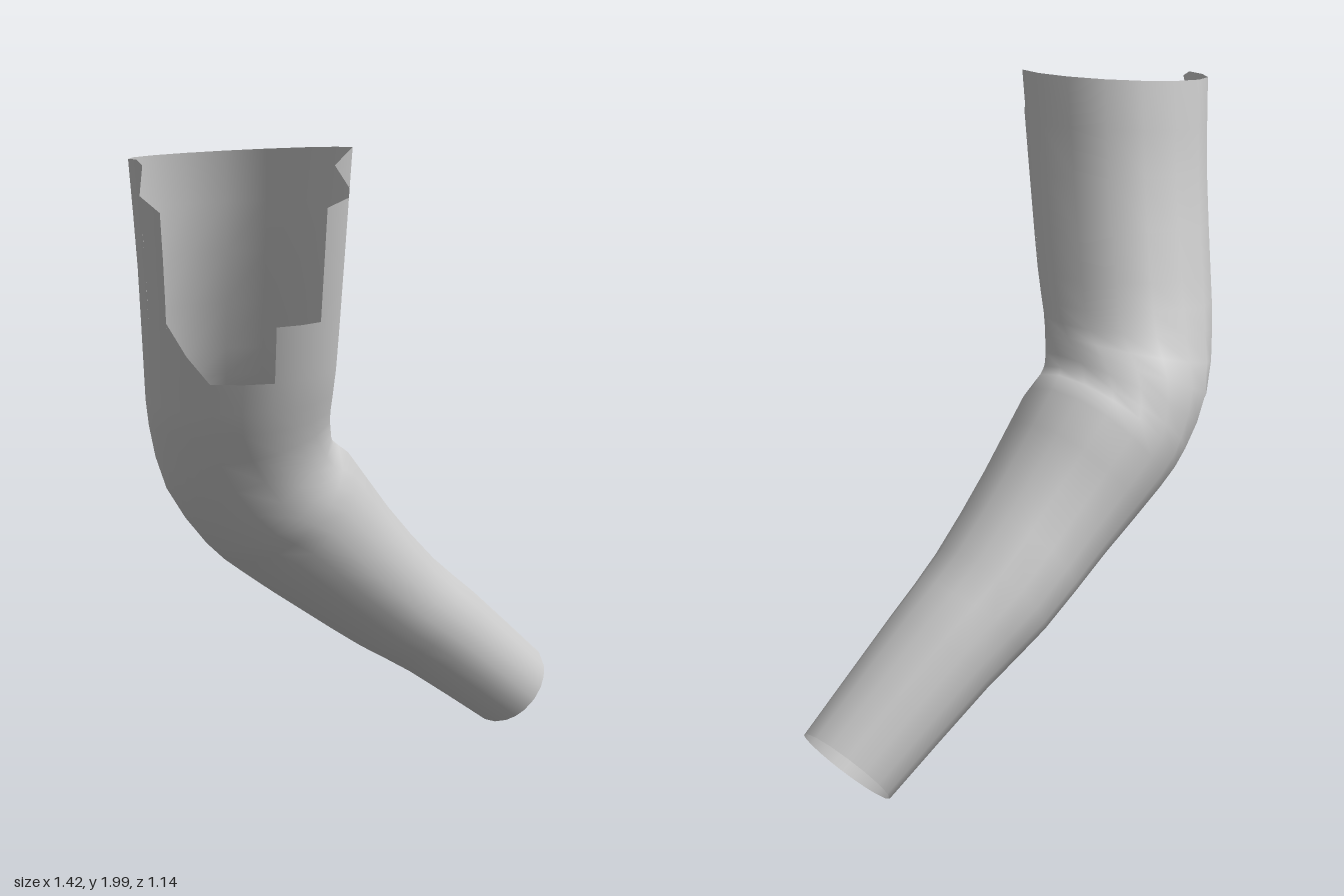
import * as THREE from 'three';

// Cross-sections from the torn opening to the narrow end:
// centre, then the half-axis to the inner side and the half-axis to the front
const rings = [
  [[-0.405, 1.985, 0.365], [0.295, 0.01, 0], [0, 0.015, 0.285]],
  [[-0.397, 1.685, 0.29], [0.28, 0, 0], [0, 0, 0.27]],
  [[-0.39, 1.39, 0.195], [0.27, 0, 0], [0, 0, 0.27]],
  [[-0.385, 1.24, 0.135], [0.26, 0.02, 0], [0, 0, 0.275]],
  [[-0.36, 1.11, 0.065], [0.235, 0.09, -0.02], [0.04, -0.01, 0.275]],
  [[-0.3, 0.99, 0.01], [0.18, 0.15, -0.05], [0.08, -0.01, 0.26]],
  [[-0.22, 0.91, -0.04], [0.145, 0.18, -0.07], [0.11, 0, 0.235]],
  [[-0.05, 0.725, -0.125], [0.123, 0.159, -0.06], [0.1, 0, 0.205]],
  [[0.145, 0.53, -0.235], [0.108, 0.14, -0.053], [0.09, 0, 0.183]],
  [[0.32, 0.385, -0.315], [0.1, 0.129, -0.049], [0.078, 0, 0.16]],
  [[0.61, 0.12, -0.435], [0.088, 0.114, -0.043], [0.066, 0, 0.135]],
];
const last = rings.length - 1;
const tearRow = 2; // the tear reaches down to this section
const curves = [0, 1, 2].map((k) => new THREE.CatmullRomCurve3(
  rings.map((r) => new THREE.Vector3(...r[k])), false, 'catmullrom', 0.5));

// Point on the sleeve: s counts sections, angle in degrees from inner side to front
function surface(s, angle) {
  const [c, u, v] = curves.map((curve) => curve.getPoint(THREE.MathUtils.clamp(s / last, 0, 1)));
  const a = THREE.MathUtils.degToRad(angle);
  return c.addScaledVector(u, Math.cos(a)).addScaledVector(v, Math.sin(a));
}

function normal(s, angle) {
  const around = surface(s, angle + 1).sub(surface(s, angle - 1));
  const along = surface(Math.min(s + 0.05, last), angle).sub(surface(Math.max(s - 0.05, 0), angle));
  return around.cross(along).normalize();
}

const sAt = (y) => (1.985 - y) / 0.2975;

// Geometry from a list of [s, angle] surface coordinates and triangle indices
function surfaceGeometry(coords, index) {
  const geo = new THREE.BufferGeometry();
  const flat = (fn) => coords.flatMap(([s, a]) => fn(s, a).toArray());
  geo.setAttribute('position', new THREE.Float32BufferAttribute(flat(surface), 3));
  geo.setAttribute('normal', new THREE.Float32BufferAttribute(flat(normal), 3));
  geo.setIndex(index);
  return geo;
}

export function createModel() {
  const group = new THREE.Group();
  group.name = 'tornSleeve';
  const cloth = new THREE.MeshStandardMaterial({ color: 0xcccccc, side: THREE.DoubleSide });

  // Columns around the sleeve: angle and start of the cloth; repeated angles are vertical rips
  const columns = [
    [0, 0], [0, sAt(1.88)], [25, sAt(1.865)], [50, sAt(1.85)], [50, sAt(1.56)],
    [65, sAt(1.56)], [80, sAt(1.56)], [80, tearRow], [98, tearRow], [117, tearRow],
    [131, sAt(1.475)], [145, sAt(1.56)], [145, sAt(1.85)], [163, sAt(1.89)], [163, 0],
  ];
  for (let a = 180; a <= 360; a += 22.5) columns.push([a, 0]);

  // Rows: four down the torn part, then half steps to the narrow end
  const tearSteps = 4;
  const coords = [];
  const index = [];
  const rows = tearSteps + 1 + (last - tearRow) * 2;
  columns.forEach(([angle, top], i) => {
    for (let j = 0; j < rows; j++) {
      const s = j <= tearSteps
        ? THREE.MathUtils.lerp(top, tearRow, j / tearSteps)
        : tearRow + (j - tearSteps) / 2;
      coords.push([s, angle]);
      if (i === 0 || j === 0 || columns[i - 1][0] === angle) continue;
      const b = i * rows + j - 1;
      const a = b - rows;
      index.push(a, b, a + 1, b, b + 1, a + 1);
    }
  });
  const sleeve = new THREE.Mesh(surfaceGeometry(coords, index), cloth);
  sleeve.name = 'sleeve';
  group.add(sleeve);

  // Pointed scraps left hanging at both sides of the tear
  const scraps = [
    ['innerScrap', [[0, 0], [sAt(1.95), 46], [sAt(1.88), 0]]],
    ['outerScrap', [[sAt(1.97), 157], [0, 163], [sAt(1.89), 163]]],
  ];
  for (const [name, corners] of scraps) {
    const scrap = new THREE.Mesh(surfaceGeometry(corners, [0, 1, 2]), cloth);
    scrap.name = name;
    group.add(scrap);
  }
  return group;
}
